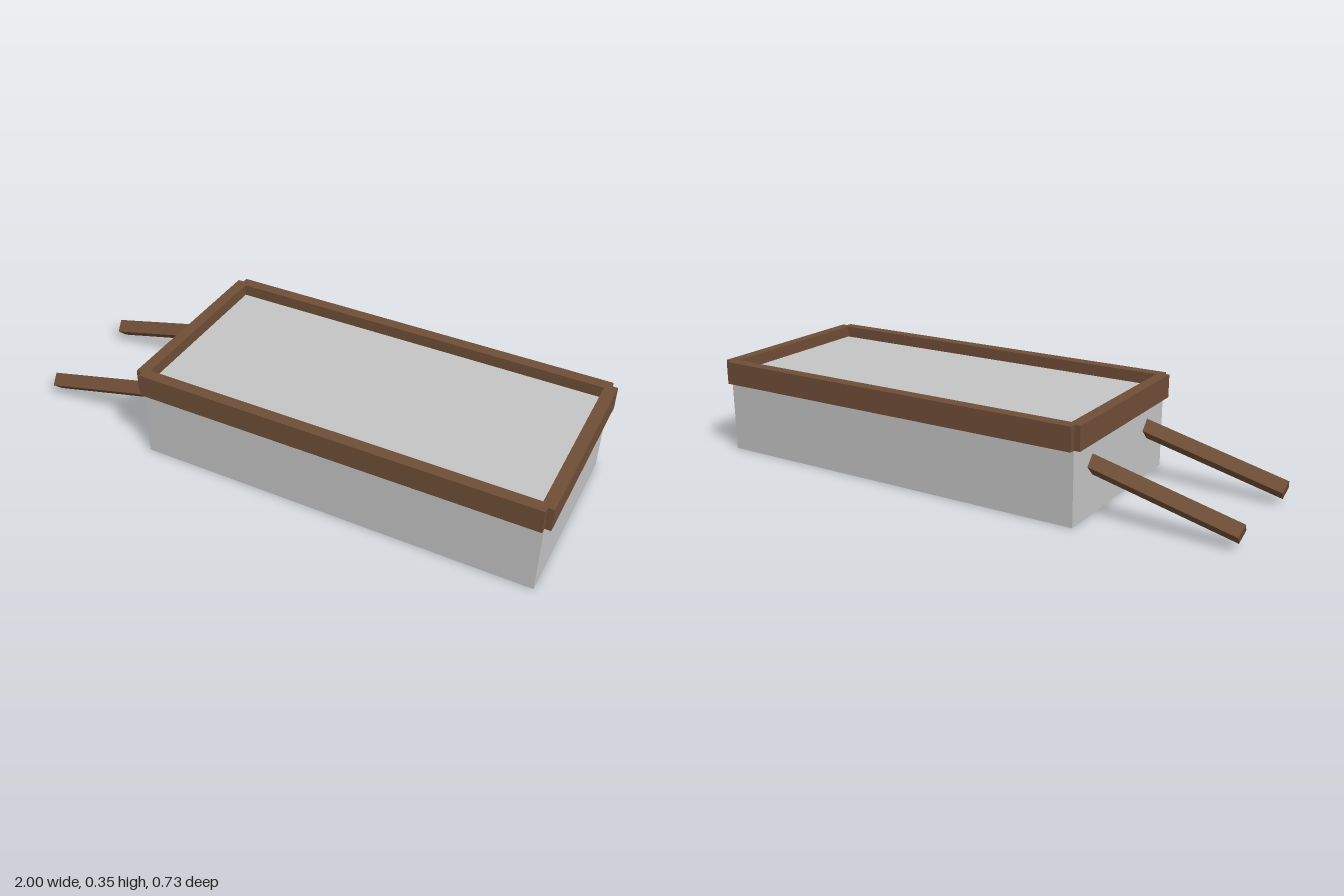
import * as THREE from 'three';

export function createModel() {
  const model = new THREE.Group();
  model.name = 'trough';
  const stone = new THREE.MeshStandardMaterial({ color: 0xc4c4c4 });
  stone.name = 'light grey';
  const wood = new THREE.MeshStandardMaterial({ color: 0x6f4e37 });
  wood.name = 'brown wood';

  const box = (name, material, w, h, d, x, y, z) => {
    const mesh = new THREE.Mesh(new THREE.BoxGeometry(w, h, d), material);
    mesh.name = name;
    mesh.position.set(x, y, z);
    model.add(mesh);
  };

  // Solid body, its top halfway up the rim
  const length = 1.456, width = 0.684, height = 0.305, cx = 0.25;
  box('body', stone, length, height, width, cx, height / 2, 0);

  // Rim boards centred on the body's edges, leaving notched corners
  const board = 0.043, rimHeight = 0.085;
  for (const s of [-1, 1]) {
    box('sideRim', wood, length, rimHeight, board, cx, height, s * width / 2);
    box('endRim', wood, board, rimHeight, width, cx + s * length / 2, height, 0);
  }

  // Two sloping handles, square bars set on edge
  const outer = new THREE.Vector3(-0.9915, 0.05, 0);
  const inner = new THREE.Vector3(-0.465, 0.181, 0);
  const axis = inner.clone().sub(outer);
  for (const s of [-1, 1]) {
    const geometry = new THREE.CylinderGeometry(0.035, 0.035, axis.length(), 4);
    const handle = new THREE.Mesh(geometry.toNonIndexed(), wood);
    handle.geometry.computeVertexNormals();
    handle.name = 'handle';
    handle.position.copy(outer).add(inner).multiplyScalar(0.5);
    handle.position.z = s * 0.211;
    handle.rotation.z = Math.atan2(axis.y, axis.x) - Math.PI / 2;
    model.add(handle);
  }
  return model;
}
